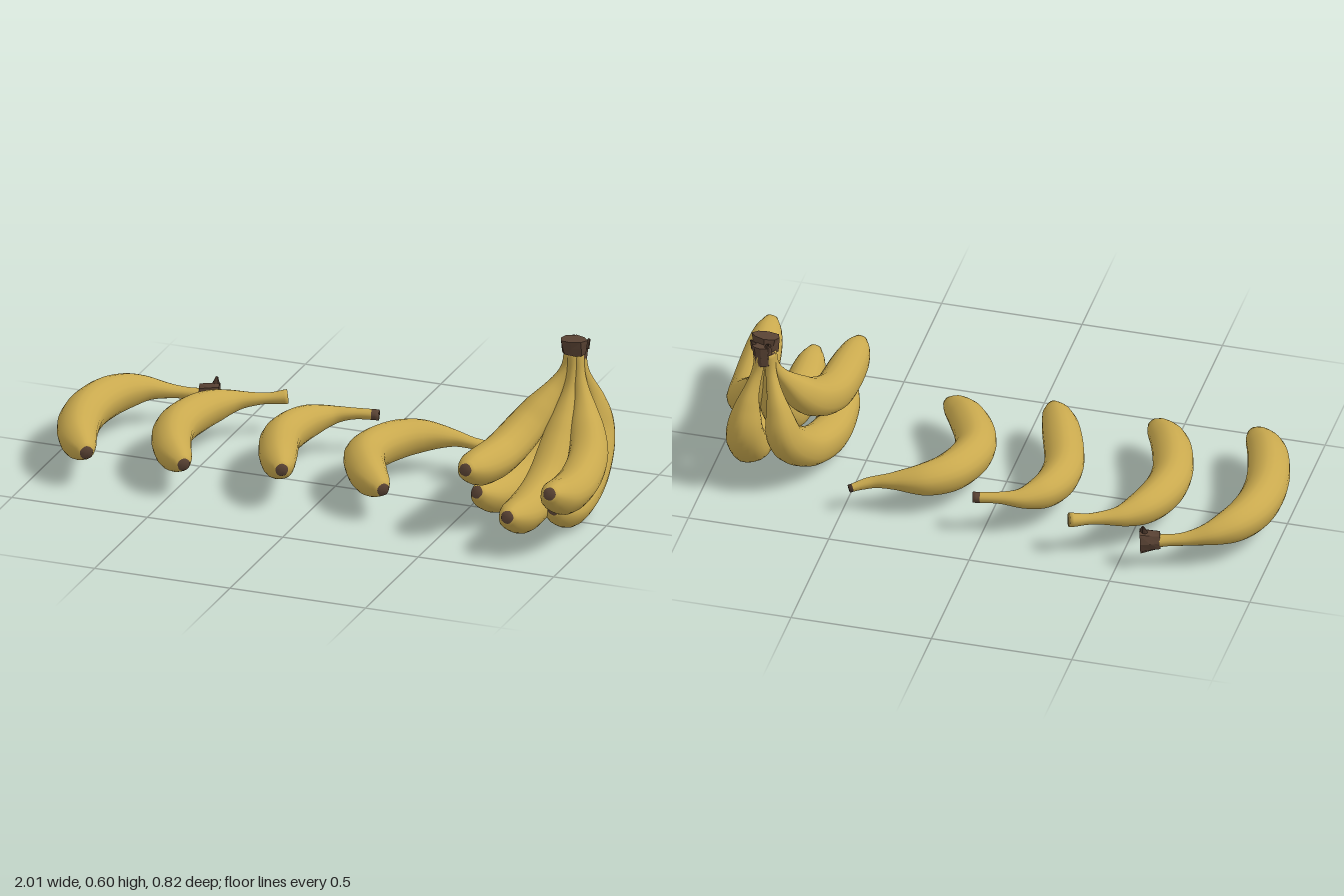
import * as THREE from 'three';
import { mergeVertices } from 'three/addons/utils/BufferGeometryUtils.js';

const RINGS = 64, SIDES = 20;

function material(name, color) {
  const m = new THREE.MeshStandardMaterial({ color });
  m.name = name;
  return m;
}

// Radius along a fruit, evenly spaced from blossom tip to stalk end
const PROFILE = new THREE.SplineCurve(
  [0.018, 0.048, 0.063, 0.070, 0.073, 0.074, 0.074, 0.074, 0.073, 0.071, 0.066, 0.058, 0.044, 0.030, 0.022, 0.020, 0.020]
    .map((r, i, all) => new THREE.Vector2(i / (all.length - 1), r)));

// One fruit: a tube swelled by the profile; materials are peel, blossom tip, stalk end
function banana(name, points, mats, { girth = 1, end = 0.022, endRings = 1 } = {}) {
  const curve = new THREE.CatmullRomCurve3(points.map(p => new THREE.Vector3(...p)));
  const tube = new THREE.TubeGeometry(curve, RINGS, 1, SIDES);
  const pos = tube.attributes.position;
  const v = new THREE.Vector3();
  for (let j = 0; j <= RINGS; j++) {
    const from = curve.getPointAt(j / RINGS);
    // the outermost rings collapse to a point to close the ends
    const t = THREE.MathUtils.clamp(j, 1, RINGS - 1) / RINGS;
    const to = curve.getPointAt(t);
    let r = PROFILE.getPoint(t).y * girth;
    r = THREE.MathUtils.lerp(r, end, THREE.MathUtils.smoothstep(t, 0.9, 0.98));
    if (j === 0 || j === RINGS) r = 0;
    for (let i = 0; i <= SIDES; i++) {
      const k = j * (SIDES + 1) + i;
      const ridge = 1 + 0.025 * Math.cos(5 * i / SIDES * Math.PI * 2);
      v.fromBufferAttribute(pos, k).sub(from).multiplyScalar(r * ridge).add(to);
      pos.setXYZ(k, v.x, v.y, v.z);
    }
  }
  tube.deleteAttribute('normal');
  tube.deleteAttribute('uv');
  const geo = mergeVertices(tube, 1e-5);
  geo.computeVertexNormals();
  const per = SIDES * 6;
  geo.clearGroups();
  geo.addGroup(0, per, 1);
  geo.addGroup(per, (RINGS - 1 - endRings) * per, 0);
  geo.addGroup((RINGS - endRings) * per, endRings * per, 2);
  const mesh = new THREE.Mesh(geo, mats);
  mesh.name = name;
  return mesh;
}

// Rough faceted piece of dried stalk
function lump(name, mat, [x, y, z], [top, bottom, height], depth, tilt) {
  const geo = new THREE.CylinderGeometry(top, bottom, height, 8, 2).toNonIndexed();
  const pos = geo.attributes.position;
  for (let i = 0; i < pos.count; i++) {
    const a = Math.atan2(pos.getZ(i), pos.getX(i));
    const s = 1 + 0.07 * Math.sin(3 * a + 40 * pos.getY(i));
    pos.setXYZ(i, pos.getX(i) * s, pos.getY(i), pos.getZ(i) * s * depth);
  }
  geo.computeVertexNormals();
  const mesh = new THREE.Mesh(geo, mat);
  mesh.name = name;
  mesh.position.set(x, y, z);
  mesh.rotation.set(...tilt);
  return mesh;
}

export function createModel() {
  const model = new THREE.Group();
  model.name = 'bananas';
  const peel = material('yellow peel', 0xc9a94e);
  const brown = material('brown stalk', 0x5a4334);
  const dark = material('dark dried stalk', 0x483529);
  const tan = material('tan cut stalk', 0xa68a48);
  const mats = [peel, brown, brown];

  // Four loose fruits lying in a row
  model.add(
    banana('looseBanana1', [[-0.785, 0.13, 0.335], [-0.87, 0.135, 0.21], [-0.925, 0.135, -0.015], [-0.9, 0.135, -0.19],
      [-0.825, 0.13, -0.295], [-0.73, 0.115, -0.343], [-0.65, 0.108, -0.365], [-0.6, 0.105, -0.38]],
    mats, { end: 0.023, endRings: 3 }),
    banana('looseBanana2', [[-0.438, 0.125, 0.302], [-0.53, 0.13, 0.185], [-0.59, 0.13, -0.015], [-0.565, 0.132, -0.175],
      [-0.495, 0.135, -0.285], [-0.42, 0.138, -0.33], [-0.36, 0.14, -0.358], [-0.31, 0.145, -0.382]],
    [peel, brown, tan], { girth: 0.95, end: 0.025 }),
    banana('looseBanana3', [[-0.085, 0.153, 0.287], [-0.155, 0.14, 0.145], [-0.218, 0.13, -0.07], [-0.195, 0.132, -0.2],
      [-0.13, 0.138, -0.28], [-0.06, 0.145, -0.308], [0.045, 0.145, -0.332]],
    mats, { girth: 0.93, end: 0.019, endRings: 3 }),
    banana('looseBanana4', [[0.282, 0.12, 0.256], [0.185, 0.128, 0.158], [0.108, 0.13, -0.015], [0.145, 0.13, -0.16],
      [0.22, 0.13, -0.238], [0.325, 0.125, -0.272], [0.41, 0.11, -0.284], [0.49, 0.09, -0.322]],
    [peel, brown, dark], { girth: 0.96, end: 0.014, endRings: 2 }),
    // tall torn-off piece of crown on the first stalk
    lump('looseStalkKnob', brown, [-0.612, 0.108, -0.376], [0.05, 0.036, 0.07], 0.56, [0, 0.25, -1.6]),
    lump('looseStalkSplinter', dark, [-0.59, 0.158, -0.388], [0.004, 0.016, 0.03], 0.7, [-0.3, 0, 0]));

  // Hanging bunch of five
  const bunch = new THREE.Group();
  bunch.name = 'bunch';
  const fruits = {
    bunchUpperRight: [[0.605, 0.276, 0.336], [0.616, 0.243, 0.2], [0.635, 0.238, 0.04], [0.675, 0.295, -0.09],
      [0.735, 0.4, -0.17], [0.775, 0.48, -0.2], [0.79, 0.555, -0.205]],
    bunchLowerRight: [[0.6, 0.152, 0.22], [0.62, 0.105, 0.12], [0.635, 0.09, 0], [0.675, 0.125, -0.15],
      [0.72, 0.23, -0.26], [0.745, 0.35, -0.265], [0.78, 0.47, -0.225], [0.79, 0.555, -0.22]],
    bunchMiddle: [[0.79, 0.157, 0.414], [0.787, 0.108, 0.23], [0.788, 0.14, 0.03], [0.79, 0.25, -0.1],
      [0.796, 0.4, -0.18], [0.8, 0.48, -0.195], [0.8, 0.56, -0.2]],
    bunchUpperLeft: [[0.943, 0.264, 0.404], [0.938, 0.2, 0.25], [0.93, 0.187, 0.08], [0.91, 0.23, -0.06],
      [0.86, 0.34, -0.16], [0.825, 0.45, -0.2], [0.81, 0.555, -0.21]],
    bunchLowerLeft: [[0.882, 0.125, 0.205], [0.882, 0.08, 0.1], [0.88, 0.07, 0], [0.872, 0.115, -0.16],
      [0.862, 0.23, -0.264], [0.85, 0.35, -0.266], [0.825, 0.47, -0.23], [0.812, 0.555, -0.225]],
  };
  for (const [name, points] of Object.entries(fruits)) {
    bunch.add(banana(name, points, mats, { girth: 0.95 }));
  }

  // Dried crown joining the stalks
  bunch.add(
    lump('crownFront', brown, [0.805, 0.566, -0.196], [0.05, 0.044, 0.054], 0.62, [0.1, 0, 0.04]),
    lump('crownBack', brown, [0.808, 0.536, -0.228], [0.034, 0.035, 0.076], 0.66, [-0.05, 0, -0.05]));
  for (const [x, z, lean] of [[0.79, -0.238, 0.2], [0.843, -0.225, -0.4]]) {
    bunch.add(lump('crownSplinter', dark, [x, 0.572, z], [0.004, 0.016, 0.034], 0.7, [-0.1, 0, lean]));
  }
  model.add(bunch);
  return model;
}
